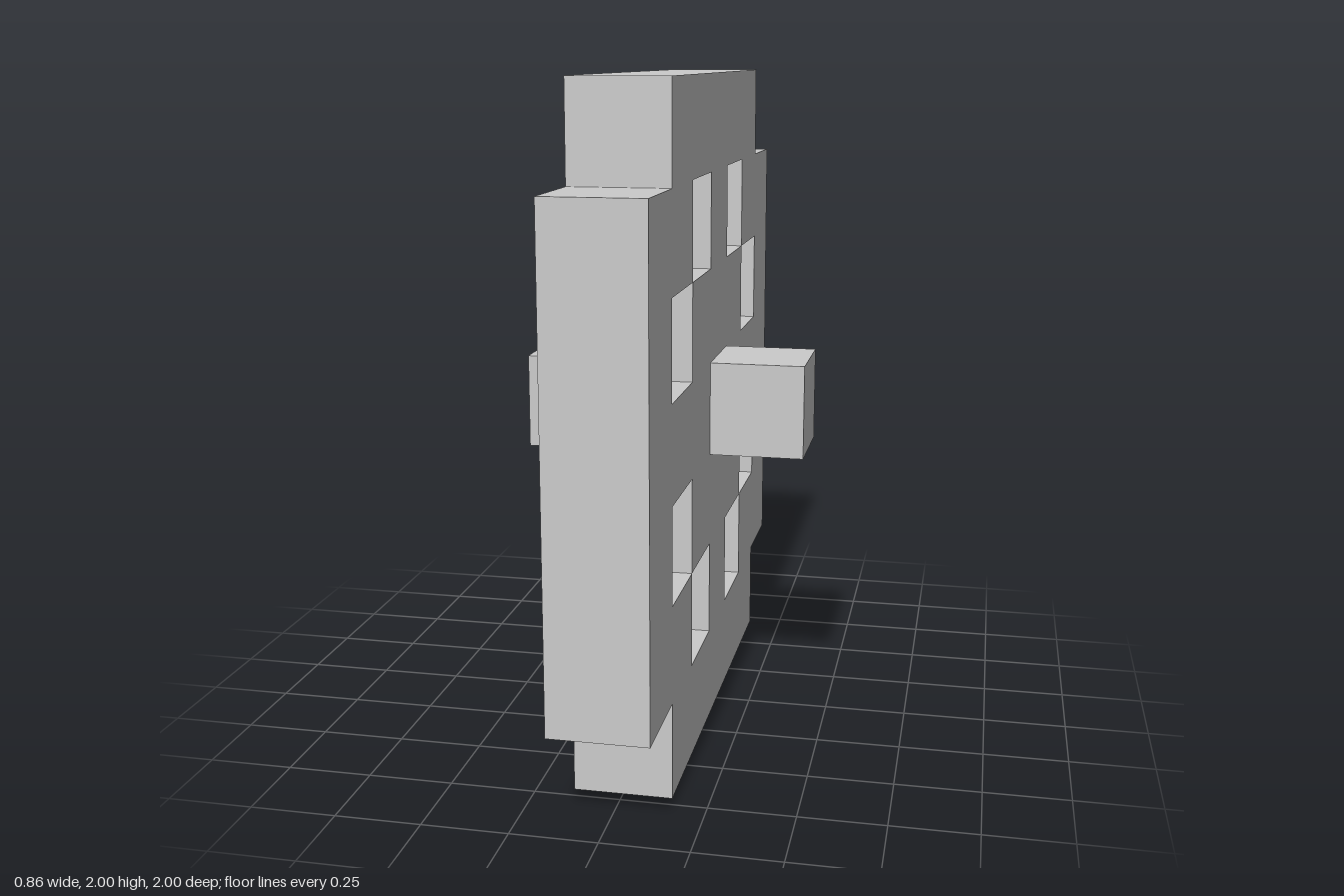
import * as THREE from 'three';

const U = 2 / 7; // the wheel is laid out on a 7 x 7 grid of square cells

// Square outline of the given half size (in cells) with one cell cut from each corner
function notchedSquare(half, Path) {
  const a = half * U, b = (half - 1) * U;
  const corners = [
    [a, -b], [a, b], [b, b], [b, a], [-b, a], [-b, b],
    [-a, b], [-a, -b], [-b, -b], [-b, -a], [b, -a], [b, -b],
  ];
  return new Path(corners.map(([x, y]) => new THREE.Vector2(x, y)));
}

export function createModel() {
  const model = new THREE.Group();
  model.name = 'blockWheel';
  const material = new THREE.MeshStandardMaterial({ color: 0xcccccc, flatShading: true });

  function add(name, geometry, y = 0, z = 0) {
    const mesh = new THREE.Mesh(geometry, material);
    mesh.name = name;
    mesh.position.set(0, 1 + y * U, z * U);
    model.add(mesh);
  }

  // Rim: stepped ring, one cell thick along x
  const ring = notchedSquare(3.5, THREE.Shape);
  ring.holes.push(notchedSquare(2.5, THREE.Path));
  const rim = new THREE.ExtrudeGeometry(ring, { depth: U, bevelEnabled: false });
  rim.translate(0, 0, -U / 2).rotateY(Math.PI / 2);
  add('rim', rim);

  // Hub, with its corners meeting the inner steps of the rim
  add('hub', new THREE.BoxGeometry(U, 3 * U, 3 * U));

  // Four one-cell spokes joining hub and rim
  for (const s of [-1, 1]) {
    add('spoke', new THREE.BoxGeometry(U, U, U), 2 * s, 0);
    add('spoke', new THREE.BoxGeometry(U, U, U), 0, 2 * s);
  }

  // Axle through the hub
  add('axle', new THREE.BoxGeometry(3 * U, U, U));

  return model;
}
